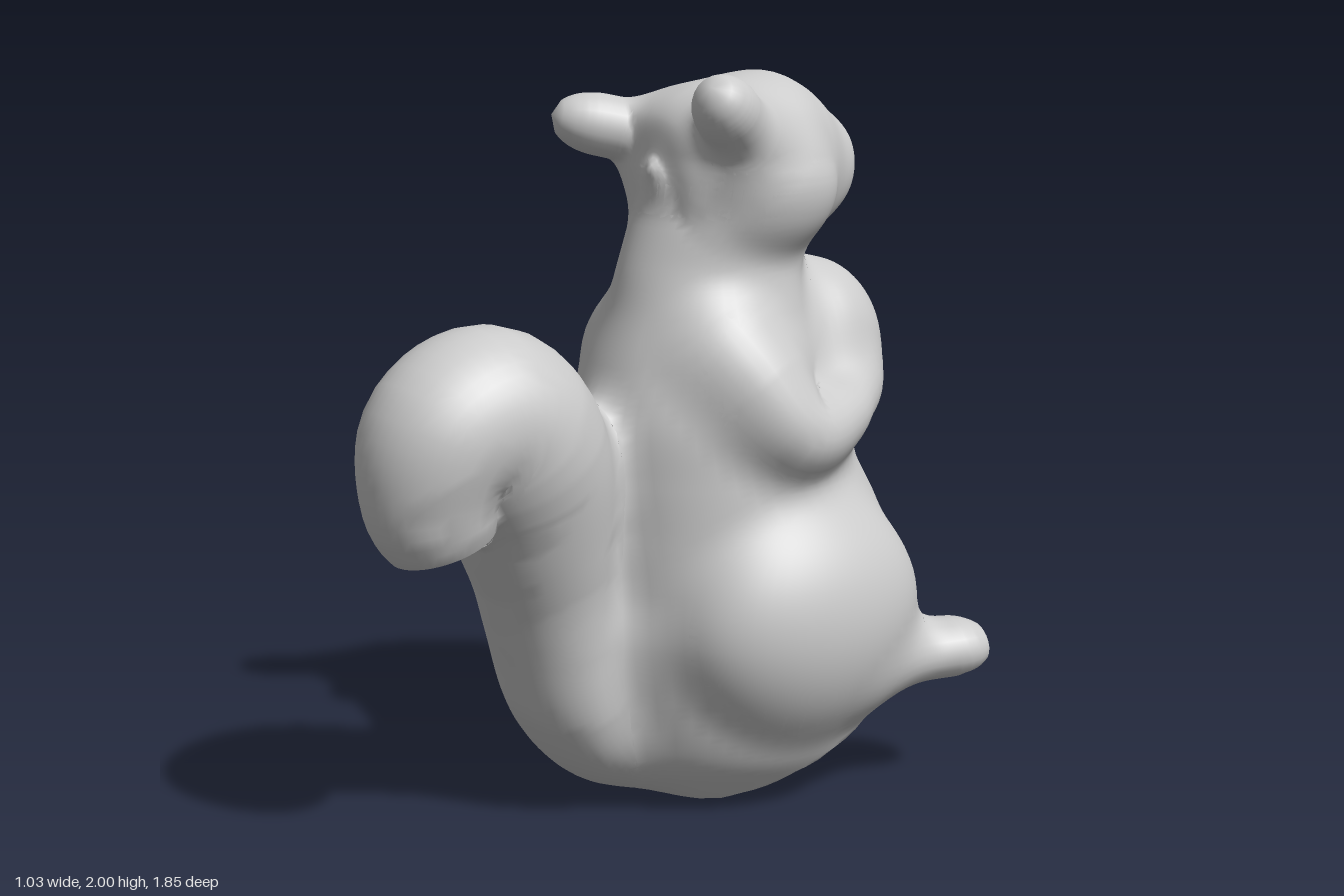
import * as THREE from 'three';
import { mergeVertices } from 'three/addons/utils/BufferGeometryUtils.js';

const material = new THREE.MeshStandardMaterial({ color: 0xcccccc, roughness: 0.8 });
const V = (x, y, z) => new THREE.Vector3(x, y, z);
const { lerp, clamp, smoothstep } = THREE.MathUtils;

// Smoothly interpolates rows of numbers; t runs from 0 to 1
function sampler(rows) {
  const n = rows.length - 1;
  const curve = new THREE.CubicInterpolant(rows.map((_, i) => i), rows.flat(), rows[0].length);
  return t => Array.from(curve.evaluate(t * n));
}

// Moves every vertex by a rule
function reshape(geo, rule) {
  const p = geo.attributes.position, v = V(0, 0, 0);
  for (let i = 0; i < p.count; i++) {
    rule(v.fromBufferAttribute(p, i), i);
    p.setXYZ(i, v.x, v.y, v.z);
  }
  return geo;
}

// Welds seams and gives smooth normals
function smooth(geo) {
  geo.deleteAttribute('uv');
  geo.deleteAttribute('normal');
  const g = mergeVertices(geo, 1e-5);
  g.computeVertexNormals();
  return g;
}

// Distance to an ellipsoid or ellipse, as a first-order estimate
function roundDistance(x, y, z, rx, ry, rz) {
  const k0 = Math.hypot(x / rx, y / ry, z / rz);
  return k0 * (k0 - 1) / (Math.hypot(x / rx / rx, y / ry / ry, z / rz / rz) + 1e-6);
}

// Each shape is a surface plus a distance field used for blending.
// Elliptical rings along 'y' (upwards) or 'z' (towards -z); row: [position, x, other centre, rx, other radius]
function ringLoft(rows, axis, rings = 90, sides = 56) {
  const at = sampler(rows), up = axis === 'y', sign = up ? 1 : -1, pos = [], index = [], table = [];
  for (let i = 0; i <= rings; i++) {
    const row = at(i / rings), [h, cx, c, rx, r] = row;
    table.push(row);
    for (let j = 0; j < sides; j++) {
      const a = (j / sides) * Math.PI * 2;
      const x = cx + Math.max(rx, 0) * Math.cos(a), s = c + Math.max(r, 0) * Math.sin(a);
      pos.push(x, ...(up ? [h, s] : [s, h]));
      if (i === rings) continue;
      const k = i * sides, n = (j + 1) % sides;
      index.push(k + j, k + sides + j, k + n, k + n, k + sides + j, k + sides + n);
    }
  }
  const geo = new THREE.BufferGeometry();
  geo.setAttribute('position', new THREE.Float32BufferAttribute(pos, 3));
  geo.setIndex(index);
  const field = (x, y, z) => {
    const h = up ? y : z, s = up ? z : y;
    let i = rings - 1;
    while (i > 0 && sign * table[i][0] > sign * h) i--;
    const a = table[i], b = table[i + 1];
    const t = clamp((h - a[0]) / (b[0] - a[0] || 1), 0, 1);
    const [, cx, c, rx, r] = a.map((m, k) => lerp(m, b[k], t));
    const over = Math.max(0, sign * (h - table[rings][0]), up ? 0 : h - table[0][0]);
    return roundDistance(x - cx, s - c, 0, Math.max(rx, 0.01), Math.max(r, 0.01), 1) + over;
  };
  return { geo, field };
}

// Tube of varying radius with rounded ends; widen(t) stretches it sideways in x
function limb(points, radii, cap = 0.15, widen = () => 1, steps = 44, sides = 24) {
  const path = new THREE.CatmullRomCurve3(points.map(p => V(...p)), false, 'centripetal');
  const radius = sampler(radii.map(r => [r]));
  const stations = Array.from({ length: steps + 1 }, (_, i) => {
    const t = i / steps, e = Math.max(0, 1 - Math.min(t, 1 - t) / cap);
    return { c: path.getPointAt(t), r: radius(t)[0] * Math.sqrt(1 - e * e), w: widen(t) };
  });
  const geo = reshape(new THREE.TubeGeometry(path, steps, 1, sides), (v, i) => {
    const { c, r, w } = stations[Math.floor(i / (sides + 1))];
    v.sub(c).multiplyScalar(r);
    v.x *= w;
    v.add(c);
  });
  const field = (x, y, z) => {
    let best = Infinity;
    for (let i = 0; i < steps; i++) {
      const a = stations[i], b = stations[i + 1];
      const ux = b.c.x - a.c.x, uy = b.c.y - a.c.y, uz = b.c.z - a.c.z;
      const px = x - a.c.x, py = y - a.c.y, pz = z - a.c.z;
      const t = clamp((px * ux + py * uy + pz * uz) / (ux * ux + uy * uy + uz * uz), 0, 1);
      const dx = (px - ux * t) / lerp(a.w, b.w, t), dy = py - uy * t, dz = pz - uz * t;
      best = Math.min(best, Math.sqrt(dx * dx + dy * dy + dz * dz) - lerp(a.r, b.r, t));
    }
    return best;
  };
  return { geo, field };
}

function ellipsoid(c, r) {
  return {
    geo: new THREE.SphereGeometry(1, 48, 32).scale(...r).translate(...c),
    field: (x, y, z) => roundDistance(x - c[0], y - c[1], z - c[2], ...r),
  };
}

// Sloping underside
const baseHeight = z => Math.max(0, -0.486 * (z + 0.1));
const flattenBase = v => { v.y = Math.max(v.y, baseHeight(v.z)); };

// Pulls visible vertices of every part onto one soft union, so that joints flow together
const BLEND = 0.1;
function blend(geo, fields) {
  const union = (x, y, z) => fields.reduce((d, f) => {
    const e = f(x, y, z), h = Math.max(0, 1 - Math.abs(d - e) / BLEND);
    return Math.min(d, e) - h * h * BLEND / 4;
  }, 10);
  const g = V(0, 0, 0), start = V(0, 0, 0), s = 0.004, normals = geo.attributes.normal;
  const slope = (v, d) => g.set(union(v.x + s, v.y, v.z) - d, union(v.x, v.y + s, v.z) - d,
    union(v.x, v.y, v.z + s) - d).divideScalar(s);
  return reshape(geo, (v, i) => {
    let d = union(v.x, v.y, v.z);
    if (d < -BLEND * 0.25 - 0.02 || v.y < baseHeight(v.z) + 0.004) return;
    start.copy(v);
    for (let n = 0; n < 3; n++) {
      slope(v, d);
      v.addScaledVector(g, -d / Math.max(g.lengthSq(), 0.2));
      v.sub(start).clampLength(0, 0.06).add(start);
      d = union(v.x, v.y, v.z);
    }
    slope(v, d).normalize();
    normals.setXYZ(i, g.x, g.y, g.z);
    flattenBase(v);
  });
}

export function createModel() {
  const parts = {};

  // Torso from the hollowed base up into the neck
  parts.torso = ringLoft([
    [0, 0, -0.42, 0, 0],
    [0, 0, -0.42, 0.13, 0.15],
    [0, -0.02, -0.38, 0.23, 0.29],
    [0.08, -0.01, -0.33, 0.29, 0.36],
    [0.18, 0, -0.31, 0.35, 0.41],
    [0.33, 0, -0.31, 0.41, 0.45],
    [0.5, 0, -0.3, 0.43, 0.47],
    [0.65, 0, -0.3, 0.42, 0.47],
    [0.8, 0.005, -0.27, 0.385, 0.45],
    [0.95, 0.015, -0.22, 0.35, 0.41],
    [1.1, 0.02, -0.18, 0.33, 0.37],
    [1.25, 0.03, -0.17, 0.3, 0.32],
    [1.38, 0.045, -0.17, 0.245, 0.28],
    [1.5, 0.05, -0.18, 0.215, 0.26],
    [1.62, 0.06, -0.2, 0.22, 0.24],
    [1.75, 0.06, -0.21, 0.21, 0.2],
    [1.85, 0.06, -0.22, 0, 0],
  ], 'y', 110);
  reshape(parts.torso.geo, v => {
    flattenBase(v);
    if (v.y - baseHeight(v.z) > 0.02) return;
    const d = Math.hypot(v.x - 0.01, (v.z + 0.48) * 1.1) / 0.19;
    v.y += 0.12 * (1 - smoothstep(d, 0.2, 1));
  });

  // Head tapering to a blunt muzzle
  parts.head = ringLoft([
    [0.02, 0.06, 1.75, 0, 0],
    [0.0, 0.06, 1.75, 0.12, 0.13],
    [-0.08, 0.06, 1.75, 0.205, 0.2],
    [-0.2, 0.065, 1.745, 0.25, 0.23],
    [-0.34, 0.06, 1.75, 0.235, 0.237],
    [-0.45, 0.055, 1.74, 0.185, 0.21],
    [-0.54, 0.05, 1.725, 0.13, 0.165],
    [-0.6, 0.05, 1.725, 0.1, 0.12],
    [-0.63, 0.05, 1.73, 0.06, 0.075],
    [-0.638, 0.05, 1.73, 0, 0],
  ], 'z');
  parts.leftCheek = ellipsoid([0.23, 1.68, -0.27], [0.085, 0.1, 0.14]);
  parts.rightCheek = ellipsoid([-0.11, 1.68, -0.27], [0.085, 0.1, 0.14]);

  // Stubby ears set far back
  parts.leftEar = limb([[0.2, 1.8, -0.17], [0.27, 1.87, -0.08], [0.325, 1.955, 0.03]],
    [0.11, 0.09, 0.085], 0.32);
  parts.rightEar = limb([[-0.02, 1.78, -0.16], [-0.11, 1.83, -0.03], [-0.185, 1.87, 0.135]],
    [0.11, 0.085, 0.085], 0.32);

  // Bent arms reaching to the nut
  const armRadii = [0.13, 0.13, 0.1, 0.085, 0.085];
  parts.leftArm = limb(
    [[0.16, 1.33, -0.07], [0.26, 1.22, -0.12], [0.355, 1.065, -0.23], [0.31, 1.08, -0.4], [0.16, 1.14, -0.6]], armRadii);
  parts.rightArm = limb(
    [[-0.09, 1.33, -0.07], [-0.2, 1.22, -0.12], [-0.295, 1.065, -0.22], [-0.25, 1.07, -0.4], [-0.09, 1.12, -0.6]], armRadii);

  // Large nut held against the chest
  parts.nut = ellipsoid([0.04, 1.21, -0.53], [0.21, 0.26, 0.21]);

  // Haunches, fullest towards the top
  for (const [name, s] of [['leftHaunch', 1], ['rightHaunch', -1]]) {
    parts[name] = ellipsoid([s * 0.305, 0.55, -0.31], [0.21, 0.3, 0.36]);
    reshape(parts[name].geo, flattenBase);
  }

  // Feet pointing forwards and outwards
  parts.leftFoot = limb([[0.26, 0.36, -0.4], [0.34, 0.385, -0.62], [0.425, 0.4, -0.84]],
    [0.1, 0.085, 0.085], 0.2, () => 1.25);
  parts.rightFoot = limb([[-0.25, 0.38, -0.46], [-0.33, 0.42, -0.7], [-0.41, 0.455, -0.905]],
    [0.11, 0.085, 0.085], 0.2, () => 1.25);

  // Bushy tail curling over at the top
  parts.tail = limb([
    [-0.08, 0.1, -0.08], [-0.08, 0.18, 0.1], [-0.075, 0.33, 0.21], [-0.05, 0.57, 0.285], [-0.01, 0.8, 0.355],
    [0.03, 1.01, 0.43], [0.06, 1.16, 0.555], [0.07, 1.12, 0.69], [0.06, 0.98, 0.72], [0.06, 0.83, 0.68],
  ], [0.09, 0.12, 0.15, 0.165, 0.18, 0.215, 0.245, 0.225, 0.185, 0.145], 0.08,
  t => lerp(1.4, 1, Math.min(1, t * 1.6)), 80, 40);

  const group = new THREE.Group();
  const fields = Object.values(parts).map(p => p.field);
  for (const [name, { geo }] of Object.entries(parts)) {
    const mesh = new THREE.Mesh(blend(smooth(geo), fields), material);
    mesh.name = name;
    group.add(mesh);
  }
  return group;
}
